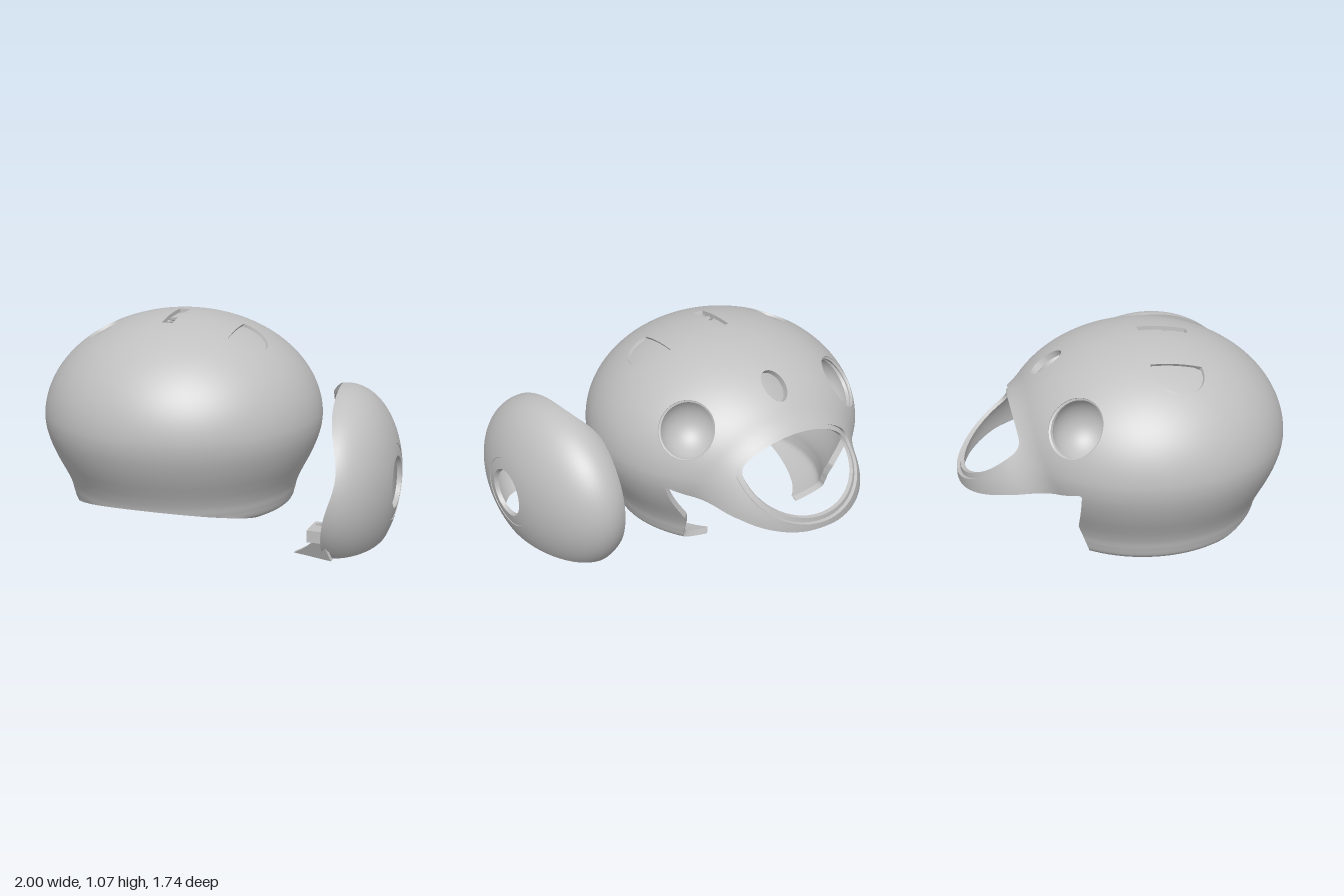
import * as THREE from 'three';
import { toCreasedNormals } from 'three/addons/utils/BufferGeometryUtils.js';

const V = (x, y, z) => new THREE.Vector3(x, y, z);
const { hypot, min, max, abs, exp, floor, PI, sin, cos } = Math;

// piecewise linear table, keys ascending
function table(rows, k) {
  if (k <= rows[0][0]) return rows[0][1];
  for (let i = 1; i < rows.length; i++) {
    const [a, va] = rows[i - 1], [b, vb] = rows[i];
    if (k <= b) return va + (vb - va) * (k - a) / (b - a);
  }
  return rows[rows.length - 1][1];
}
const smin = (a, b, k) => min(a, b) - max(k - abs(a - b), 0) ** 2 / (4 * k);
const smax = (a, b, k) => -smin(-a, -b, k);

// Wall of a form seen from its centre, between depths o0 and o1, trimmed to keep(p) > 0
function shell(centre, radius, keep, o0, o1, nu, nv) {
  const pos = [];
  const vert = (d) => {
    const r = radius(d), at = (o) => centre.clone().addScaledVector(d, r - o);
    return { d, out: at(o0), inn: at(o1), f: keep(at(0)) };
  };
  const tri = (a, b, c) => {
    if (b.clone().sub(a).cross(c.clone().sub(a)).length() < 1e-8) return;
    for (const p of [a, b, c]) pos.push(p.x, p.y, p.z);
  };
  const crossing = (a, b) => {
    let lo = 0, hi = 1, v;
    for (let i = 0; i < 10; i++) {
      const m = (lo + hi) / 2;
      v = vert(a.d.clone().lerp(b.d, m).normalize());
      if ((v.f > 0) === (a.f > 0)) lo = m; else hi = m;
    }
    return v;
  };
  const face = (t) => {
    const poly = [];
    let leave, enter;
    t.forEach((a, i) => {
      const b = t[(i + 1) % 3];
      if (a.f > 0) poly.push(a);
      if ((a.f > 0) !== (b.f > 0)) {
        const c = a.f > 0 ? crossing(a, b) : crossing(b, a);
        poly.push(c);
        if (a.f > 0) leave = c; else enter = c;
      }
    });
    for (let i = 2; i < poly.length; i++) {
      tri(poly[0].out, poly[i - 1].out, poly[i].out);
      tri(poly[0].inn, poly[i].inn, poly[i - 1].inn);
    }
    if (leave && enter) {
      tri(enter.out, leave.out, leave.inn);
      tri(enter.out, leave.inn, enter.inn);
    }
  };
  const grid = [];
  for (let i = 0; i <= nv; i++) {
    const row = [], th = PI * i / nv, s = i === nv ? 0 : sin(th);
    for (let j = 0; j < nu; j++) {
      const ph = 2 * PI * j / nu;
      row.push(vert(V(s * sin(ph), cos(th), s * cos(ph))));
    }
    grid.push(row);
  }
  for (let i = 0; i < nv; i++) for (let j = 0; j < nu; j++) {
    const k = (j + 1) % nu, a = grid[i][j], b = grid[i + 1][j], c = grid[i + 1][k], d = grid[i][k];
    face([a, b, c]);
    face([a, c, d]);
  }
  let geo = new THREE.BufferGeometry();
  geo.setAttribute('position', new THREE.Float32BufferAttribute(pos, 3));
  geo.scale(100, 100, 100); // keeps the vertex matching fine enough
  geo = toCreasedNormals(geo, 0.6);
  return geo.scale(0.01, 0.01, 0.01);
}

// Lower body radius every 0.05 of height from y = -0.15, smoothly interpolated
const base = [0, 0, 0.2, 0.43, 0.576, 0.604, 0.617, 0.637, 0.662, 0.688, 0.711, 0.73, 0.744, 0.751, 0.752, 0.75];
function baseRadius(y) {
  const k = max(1, (y + 0.15) / 0.05), i = floor(k), t = k - i;
  const [a, b, c, d] = base.slice(i - 1, i + 3);
  return b + t * (c - a + t * (2 * a - 5 * b + 4 * c - d + t * (3 * (b - c) + d - a))) / 2;
}

// Body form: domed top, waisted base, blended with a spout at the back
const BC = V(-0.25, 0.51, 0.115);
function bodyField(p) {
  const x = p.x - BC.x, y = p.y - BC.y, z = p.z - BC.z, h = hypot(x, z);
  const dome = y > 0 ? (hypot(h / 0.752, y / 0.565) - 1) * 0.565 : (h - baseRadius(p.y)) * 0.753;
  const spout = (hypot(x / 0.472, (p.y - 0.35) / 0.425, (p.z + 0.4) / 0.472) - 1) * 0.425;
  return smin(dome, spout, 0.06);
}
function bodyRadius(d) {
  let lo = 0.2, hi = 1.4;
  for (let i = 0; i < 26; i++) {
    const m = (lo + hi) / 2;
    if (bodyField(BC.clone().addScaledVector(d, m)) < 0) lo = m; else hi = m;
  }
  return lo;
}

// Openings and recesses, positive inside
const bowlRadius = 0.17;
const bowls = [-1, 1].map((s) => V(BC.x + s * 0.427, 0.71, -0.255));
const spoutHole = (p) => -smax(0.565 + 0.8 * (p.z + 0.6) - p.y, p.z + 0.585 - 0.25 * (p.x - BC.x) ** 2, 0.05);
const rearHole = (p) => min((1 - hypot((p.x - BC.x) / 0.065, (p.z + 0.39) / 0.08)) * 0.065, p.y - 0.7);
const pocket = (p) => {
  const dx = abs(p.x - BC.x);
  return min(0.135 - hypot(dx - 0.37, p.z - 0.225), dx - 0.335, p.y - 0.8);
};
const slot = (p) => min(0.03 - abs(p.x - BC.x), 0.13 - abs(p.z - 0.22), p.y - 0.8);
const slotFloor = (p) => min(slot(p), ...[0.25, 0.32].map((z) => hypot(p.x - BC.x, p.z - z) - 0.03));
const underside = [[-0.86, 0.312], [-0.67, 0.377], [-0.53, 0.405], [-0.39, 0.43], [-0.3, 0.46]];
const aboveUnderside = (p) => p.y - table(underside, p.z);
function bodyKeep(p) {
  const rearEdge = p.z - table([[0, -0.22], [0.22, -0.3]], p.y);
  const rim = 0.004 + 0.12 * max(0, (p.z + 0.1) / 0.8) ** 2;
  return min(max(rearEdge, aboveUnderside(p)), p.y - rim, -spoutHole(p), -rearHole(p),
    -pocket(p), -slot(p), ...bowls.map((c) => c.distanceTo(p) - bowlRadius - 0.014));
}
// Recessed band just inside the spout opening
const spoutLip = (p) => min(spoutHole(p) + 0.008, 0.025 - spoutHole(p), aboveUnderside(p), -0.4 - p.z);

// Side cover form: leaning half ellipsoid
const CC = V(0.7, 0.3, 0.31);
function coverRadius(d) {
  return 1 / hypot((d.x - 0.07 * d.z) / 0.3, d.y / 0.475, d.z / 0.557);
}
const coverEdge = [[0, 0.56], [0.04, 0.57], [0.08, 0.595], [0.15, 0.64], [0.22, 0.665], [0.3, 0.68], [0.5, 0.7], [0.86, 0.73]];
const ringDistance = (p) => (p.x > 0.8 ? hypot(p.y - 0.3, p.z - 0.325) : 1);
function coverKeep(p) {
  const t = min(1, max(0, (p.z - 0.25) / 0.5));
  const bulge = 0.075 * t * t * (3 - 2 * t) * exp(-(((p.y - 0.45) / 0.2) ** 2));
  return min(p.y, p.x - table(coverEdge, p.z) - bulge, ringDistance(p) - 0.195);
}

export function createModel() {
  const model = new THREE.Group();
  const grey = new THREE.MeshStandardMaterial({ color: 0xc0c0c0, side: THREE.DoubleSide });
  grey.name = 'grey plastic';
  const add = (name, geo, parent) => {
    const m = new THREE.Mesh(geo, grey);
    m.name = name;
    parent.add(m);
    return m;
  };

  // Body
  const body = new THREE.Group();
  body.name = 'body';
  model.add(body);
  add('bodyShell', shell(BC, bodyRadius, bodyKeep, 0, 0.035, 150, 150), body);
  add('spoutLip', shell(BC, bodyRadius, spoutLip, 0.018, 0.04, 150, 180), body);
  add('topPocketFloors', shell(BC, bodyRadius, pocket, 0.016, 0.035, 112, 64), body);
  add('slotFloor', shell(BC, bodyRadius, slotFloor, 0.02, 0.035, 112, 96), body);
  bowls.forEach((c, i) => add(i ? 'leftBowl' : 'rightBowl',
    shell(c, () => bowlRadius + 0.016, (p) => -bodyField(p) - 0.001, 0, 0.016, 56, 36), body));

  // Side cover with a stepped round window
  const cover = new THREE.Group();
  cover.name = 'sideCover';
  model.add(cover);
  add('coverShell', shell(CC, coverRadius, coverKeep, 0, 0.028, 120, 80), cover);
  add('windowRing', shell(CC, coverRadius,
    (p) => min(0.197 - ringDistance(p), ringDistance(p) - 0.135), 0.004, 0.028, 120, 80), cover);

  // Mounting tab with a screw hole
  const tab = new THREE.Shape([[-0.035, -0.11], [0.035, -0.11], [0.035, 0.04], [-0.035, 0.04]].map(([x, y]) => new THREE.Vector2(x, y)));
  tab.holes.push(new THREE.Path().absarc(0, 0, 0.02, 0, 2 * PI, true));
  const tabMesh = add('mountingTab', new THREE.ExtrudeGeometry(tab, { depth: 0.06, bevelEnabled: false, curveSegments: 16 }), cover);
  tabMesh.rotation.x = -PI / 2;
  tabMesh.position.set(0.695, 0.1, 0.71);

  // Pointed tip at the lower front
  const tip = new THREE.Shape();
  tip.moveTo(0, 0);
  tip.quadraticCurveTo(0.11, 0.06, 0.18, 0.15);
  tip.lineTo(0.22, 0);
  const tipMesh = add('frontTip', new THREE.ExtrudeGeometry(tip, { depth: 0.015, bevelEnabled: false }), cover);
  tipMesh.rotation.set(0.35, -0.3, 0, 'YXZ');
  tipMesh.position.set(0.568, 0.006, 0.7);
  return model;
}
